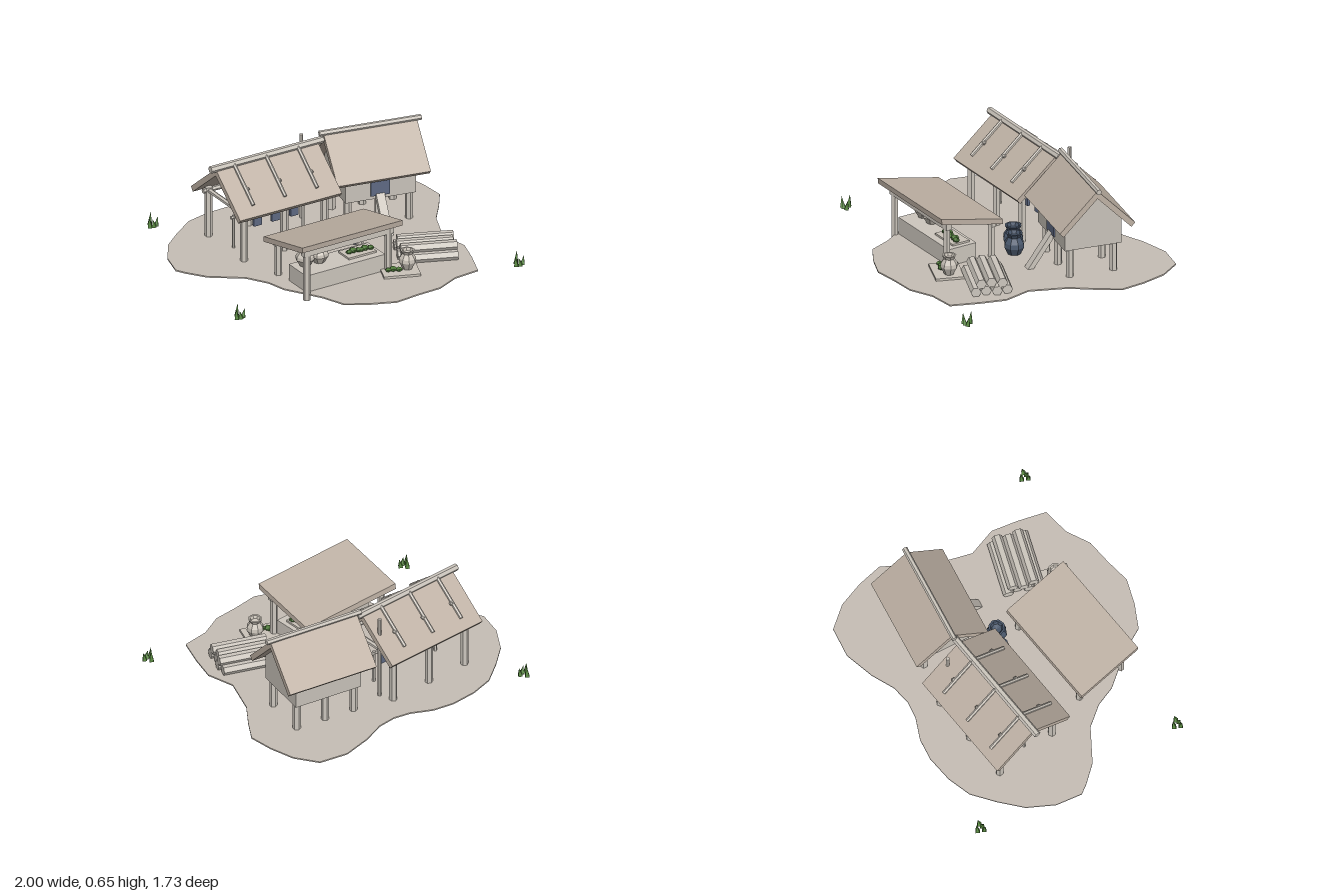
import * as THREE from 'three';

const mat = (name, color) => Object.assign(new THREE.MeshStandardMaterial({ color, flatShading: true }), { name });
const M = {
  wood: mat('pale wood', 0xcdc7be),
  roof: mat('thatch', 0xbfb2a5),
  ground: mat('packed earth', 0xc6beb5),
  wall: mat('plaster wall', 0xc9c3ba),
  cloth: mat('blue cloth', 0x5f6a84),
  glaze: mat('dark blue clay', 0x4a586c),
  clay: mat('pale clay', 0xcbc4ba),
  grass: mat('grass green', 0x5a8a42),
  leaf: mat('leaf green', 0x4f7a3a),
};

function add(parent, name, geo, material, x = 0, y = 0, z = 0) {
  const m = new THREE.Mesh(geo, material);
  m.name = name;
  m.position.set(x, y, z);
  parent.add(m);
  return m;
}
function group(parent, name, x = 0, z = 0, ry = 0) {
  const g = new THREE.Group();
  g.name = name;
  g.position.set(x, 0, z);
  g.rotation.y = ry;
  parent.add(g);
  return g;
}
const box = (p, name, m, w, h, d, x, y, z) => add(p, name, new THREE.BoxGeometry(w, h, d), m, x, y, z);

// Round pole between two points
function pole(p, name, a, b, r, sides = 6, m = M.wood) {
  const va = new THREE.Vector3(...a), vb = new THREE.Vector3(...b);
  const dir = vb.clone().sub(va);
  const o = add(p, name, new THREE.CylinderGeometry(r, r, dir.length(), sides), m);
  o.position.copy(va.add(vb).multiplyScalar(0.5));
  o.quaternion.setFromUnitVectors(new THREE.Vector3(0, 1, 0), dir.normalize());
  return o;
}

// Extrude a (z, y) outline along x, centred
function prism(p, name, m, pts, length) {
  const shape = new THREE.Shape(pts.map(([z, y]) => new THREE.Vector2(-z, y)));
  const geo = new THREE.ExtrudeGeometry(shape, { depth: length, bevelEnabled: false });
  geo.translate(0, 0, -length / 2);
  geo.rotateY(Math.PI / 2);
  return add(p, name, geo, m);
}

// Two sloping panels with a ridge log
function gableRoof(p, length, D, H, h, t, ridgeLength, r) {
  const len = Math.hypot(D, H - h), s = (H - h) / len, c = D / len;
  prism(p, 'roof', M.roof, [
    [0, H], [D, h], [D - t * s, h - t * c], [0, H - t / c], [-D + t * s, h - t * c], [-D, h],
  ], length);
  pole(p, 'ridgeLog', [-ridgeLength / 2, H + 0.003, 0], [ridgeLength / 2, H + 0.003, 0], r);
}

// Eight-sided jar
function jar(p, name, m, x, y, z, r, h) {
  const prof = [[0, 0], [0.55, 0], [1, 0.4], [0.95, 0.58], [0.6, 0.82], [0.82, 1], [0.62, 1], [0.48, 0.85], [0, 0.8]];
  add(p, name, new THREE.LatheGeometry(prof.map(([a, b]) => new THREE.Vector2(a * r, b * h)), 8), m, x, y, z);
}

function greens(p, x, y, z) {
  [[0, 0, 0.028], [0.035, 0.012, 0.024], [-0.032, 0.01, 0.022]].forEach(([dx, dz, r]) => {
    add(p, 'greens', new THREE.IcosahedronGeometry(r, 0), M.leaf, x + dx, y, z + dz).scale.y = 0.6;
  });
}

export function createModel() {
  const root = new THREE.Group();
  root.name = 'stiltVillage';

  // Ground patch
  const outline = [
    [-1, -.09], [-.98, -.26], [-.9, -.43], [-.78, -.56], [-.65, -.68], [-.5, -.74], [-.33, -.77], [-.19, -.76],
    [-.05, -.71], [.06, -.7], [.18, -.725], [.32, -.8], [.51, -.865], [.7, -.85], [.81, -.72], [.87, -.56],
    [.905, -.4], [.84, -.265], [.75, -.105], [.71, .055], [.69, .135], [.755, .31], [.73, .48], [.69, .66],
    [.52, .7], [.38, .79], [.22, .82], [.06, .86], [-.1, .82], [-.25, .76], [-.33, .62], [-.5, .42],
    [-.55, .3], [-.65, .18], [-.86, .07], [-.96, -.035],
  ];
  const land = new THREE.ExtrudeGeometry(
    new THREE.Shape(outline.map(([x, z]) => new THREE.Vector2(x, -z))), { depth: 0.009, bevelEnabled: false });
  land.rotateX(-Math.PI / 2);
  add(root, 'ground', land, M.ground, 0, 0.03, 0);

  // Open long shelter
  const long = group(root, 'longShelter', -0.305, -0.287, 0.14);
  gableRoof(long, 0.734, 0.286, 0.595, 0.36, 0.036, 0.81, 0.023);
  for (const z of [-0.205, 0.205]) {
    for (const x of [-0.29, 0, 0.29]) pole(long, 'post', [x, 0, z], [x, 0.37, z], 0.025);
    pole(long, 'eaveBeam', [-0.33, 0.35, z], [0.33, 0.35, z], 0.016);
  }
  for (const x of [-0.29, 0, 0.29]) pole(long, 'crossBeam', [x, 0.35, -0.22], [x, 0.35, 0.22], 0.016);
  // Poles lashed over the thatch
  const slope = (0.595 - 0.36) / 0.286;
  const onRoof = (x, z) => [x, 0.608 - Math.abs(z) * slope, z];
  for (const x of [-0.24, -0.01, 0.22]) {
    for (const s of [-1, 1]) {
      pole(long, 'roofPole', onRoof(x, s * 0.01), onRoof(x, s * 0.235), 0.012);
      add(long, 'poleKnot', new THREE.IcosahedronGeometry(0.016, 0), M.wood, ...onRoof(x + 0.008, s * 0.15));
    }
  }
  pole(root, 'tallStake', [0, 0, -0.45], [0, 0.605, -0.45], 0.012);

  // Drying rack with hanging cloths
  const rack = group(long, 'dryingRack', 0, 0.02);
  pole(rack, 'rackBar', [-0.27, 0.245, 0], [0.27, 0.245, 0], 0.011);
  for (const x of [-0.25, 0.25]) pole(rack, 'rackLeg', [x, 0.035, 0], [x, 0.26, 0], 0.01);
  for (const x of [-0.08, 0.05, 0.185]) box(rack, 'cloth', M.cloth, 0.055, 0.095, 0.02, x, 0.195, 0);

  // Raised hut
  const hut = group(root, 'raisedHut', 0.41, -0.336, -0.058);
  gableRoof(hut, 0.61, 0.247, 0.632, 0.382, 0.036, 0.665, 0.018);
  prism(hut, 'hutWalls', M.wall, [[0.185, 0.225], [0.185, 0.395], [0, 0.58], [-0.185, 0.395], [-0.185, 0.225]], 0.46);
  for (const x of [-0.2, 0, 0.2]) for (const z of [-0.143, 0.143]) pole(hut, 'post', [x, 0, z], [x, 0.23, z], 0.025);
  box(hut, 'doorCurtain', M.cloth, 0.125, 0.125, 0.008, -0.005, 0.31, 0.189);
  const ramp = box(hut, 'rampPlank', M.wood, 0.055, 0.3, 0.032, -0.005, 0.135, 0.262);
  ramp.rotation.x = -0.61;

  // Market stall with a lean-to roof
  const stall = group(root, 'stall', -0.143, 0.351, 0.148);
  prism(stall, 'stallRoof', M.roof, [[0.224, 0.402], [0.22, 0.365], [-0.224, 0.262], [-0.22, 0.298]], 0.725);
  for (const x of [-0.285, 0.305]) {
    pole(stall, 'frontPost', [x, 0, 0.15], [x, 0.36, 0.15], 0.023);
    pole(stall, 'backPost', [x, 0, -0.175], [x, 0.285, -0.175], 0.023);
  }
  box(stall, 'frontBeam', M.wood, 0.65, 0.04, 0.04, 0.01, 0.322, 0.15);
  box(stall, 'backBeam', M.wood, 0.65, 0.025, 0.03, 0.01, 0.255, -0.175);
  box(stall, 'counter', M.wood, 0.57, 0.115, 0.2, 0.01, 0.092, 0.03);
  jar(stall, 'counterJar', M.clay, -0.2, 0.15, -0.005, 0.06, 0.112);
  jar(stall, 'counterJar', M.clay, -0.1, 0.15, 0, 0.06, 0.112);
  box(stall, 'tray', M.clay, 0.2, 0.012, 0.12, 0.165, 0.156, 0.02);
  greens(stall, 0.13, 0.175, 0.02);
  greens(stall, 0.21, 0.175, 0.03);

  // Ground mat with a jar
  const rug = group(root, 'mat', 0.245, 0.483, -0.22);
  box(rug, 'matBoard', M.clay, 0.23, 0.018, 0.18, 0, 0.045, 0);
  jar(rug, 'matJar', M.clay, 0.05, 0.054, -0.005, 0.055, 0.125);
  greens(rug, -0.045, 0.07, 0.02);

  // Dark storage jars
  jar(root, 'storageJar', M.glaze, 0.155, 0.028, -0.01, 0.065, 0.15);
  jar(root, 'storageJar', M.glaze, 0.05, 0.028, -0.05, 0.065, 0.15);

  // Log pile
  const pile = group(root, 'logPile', 0.49, 0.323, -0.245);
  [4, 3].forEach((n, row) => {
    for (let i = 0; i < n; i++) {
      const z = (i - (n - 1) / 2) * 0.066, y = 0.066 + row * 0.052;
      const dx = ((i + row) % 2) * 0.014 - 0.007;
      pole(pile, 'log', [-0.175 + dx, y, z], [0.175 + dx, y, z], 0.033);
    }
  });

  // Grass tufts
  for (const [x, z] of [[-0.87, -0.74], [-0.9, 0.64], [0.96, 0.66]]) {
    const tuft = group(root, 'grassTuft', x, z, 0.3);
    [[-0.03, 0.012, 0.07, 0.1], [0.002, -0.02, 0.085, -0.1], [0.024, 0.018, 0.06, -0.2], [-0.008, 0.022, 0.055, 0.25]]
      .forEach(([dx, dz, h, lean]) => {
        const b = add(tuft, 'blade', new THREE.ConeGeometry(0.019, h, 4), M.grass, dx, 0.025 + h / 2, dz);
        b.rotation.z = lean;
      });
  }
  return root;
}
